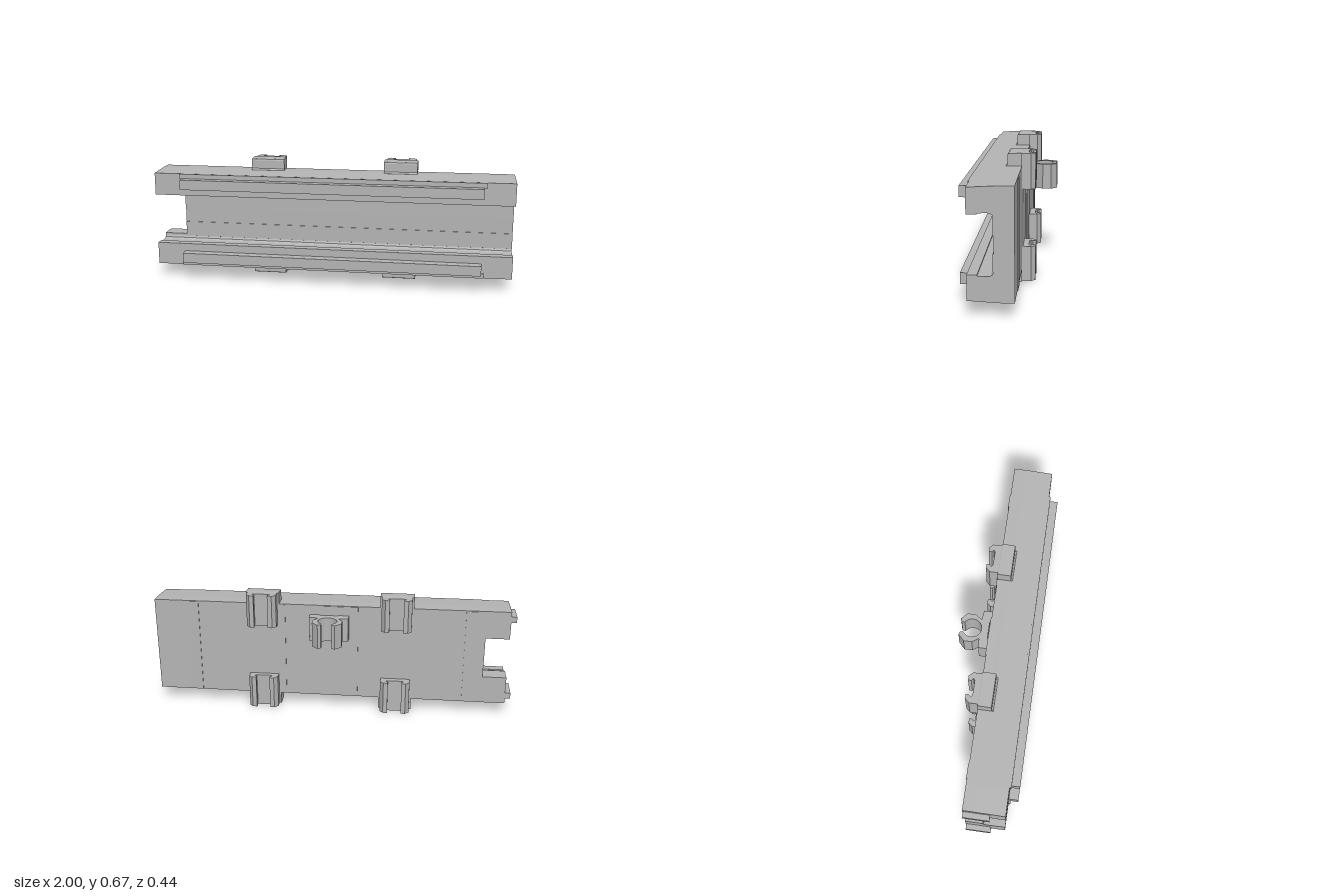
import * as THREE from 'three';

const X0 = -0.97, CUT = -0.84, X1 = 1, MID = 0.336;

export function createModel() {
  const root = new THREE.Group();
  root.name = 'channelRail';
  const grey = new THREE.MeshStandardMaterial({ color: 0xb4b4b4 });

  const add = (geometry, name) => {
    const mesh = new THREE.Mesh(geometry, grey);
    mesh.name = name;
    root.add(mesh);
    return mesh;
  };
  const box = (name, x0, x1, y0, y1, z0, z1) => {
    const g = new THREE.BoxGeometry(x1 - x0, y1 - y0, z1 - z0);
    g.translate((x0 + x1) / 2, (y0 + y1) / 2, (z0 + z1) / 2);
    return add(g, name);
  };
  const toShape = (pts) => new THREE.Shape(pts.map(([a, b]) => new THREE.Vector2(a, b)));
  // extrude a (z, y) section along x
  const alongX = (name, pts, x0, x1) => {
    const g = new THREE.ExtrudeGeometry(toShape(pts.map(([z, y]) => [-z, y])), { depth: x1 - x0, bevelEnabled: false });
    g.rotateY(Math.PI / 2);
    g.translate(x0, 0, 0);
    return add(g, name);
  };
  // extrude an (x, -z) section along y
  const alongY = (name, shape, x, y0, y1) => {
    const g = new THREE.ExtrudeGeometry(shape, { depth: y1 - y0, bevelEnabled: false, curveSegments: 20 });
    g.rotateX(-Math.PI / 2);
    g.translate(x, y0, 0);
    return add(g, name);
  };
  const flip = (pts) => pts.map(([z, y]) => [z, 2 * MID - y]).reverse();

  // lower half of the channel section, mirrored for the upper half
  const half = [
    [-0.05, 0.067], [0.02, 0.067], [0.168, 0.075], [0.168, 0.197], [0.12, 0.197], [0.12, 0.192],
    [0.075, 0.19], [0.06, 0.192], [0.05, 0.199], [0.046, 0.21],
  ];
  const lower = [...half, [0.049, 0.211], [0.049, 0.295], [0.045, 0.295]];
  alongX('channelBody', [...lower, ...flip(lower)], CUT, X1);

  // flange ends beside the end notch
  const stub = [...half, [0.046, 0.222], [-0.05, 0.222]];
  alongX('lowerFlangeEnd', stub, X0, CUT);
  alongX('upperFlangeEnd', flip(stub), X0, CUT);

  // front rails, lips behind them and end tabs
  for (const [side, m] of [['lower', (y) => y], ['upper', (y) => 2 * MID - y]]) {
    const pair = (name, x0, x1, ya, yb, z0, z1) =>
      box(side + name, x0, x1, Math.min(m(ya), m(yb)), Math.max(m(ya), m(yb)), z0, z1);
    pair('FrontRail', -0.81, 0.835, 0.1, 0.155, 0.16, 0.22);
    pair('FrontLip', -0.825, 0.85, 0.0755, 0.102, 0.16, 0.177);
    pair('EndTab', -1, X0 + 0.01, 0.095, 0.128, -0.046, 0.09);
  }

  // shallow raised panels on the back
  for (const [a, b] of [[-0.81, -0.73], [0.75, 0.83], [-0.145, 0.07], [0.26, 0.47]])
    box('backPanel', a, b, 0.07, 0.602, -0.054, -0.045);

  // section of the snap hooks: two angled prongs with a slot between
  const hookSide = [
    [0.082, 0.045], [0.082, 0.095], [0.062, 0.117], [0.038, 0.117], [0.038, 0.1], [0.05, 0.09], [0.04, 0.082],
  ];
  const hook = toShape([...hookSide, ...hookSide.map(([x, z]) => [-x, z]).reverse()]);
  const lug = (y0, y1) => [
    [-0.05, y0 + 0.002], [-0.045, y0], [0.015, y0 + 0.002], [0.022, y0 + 0.005], [0.024, y0 + 0.012],
    [0.024, y1 - 0.008], [0.032, y1], [0.032, y1 + 0.01], [-0.05, y1 + 0.01],
  ];
  for (const x of [-0.357, 0.385]) {
    alongX('lowerLug', lug(0, 0.067), x - 0.092, x + 0.092);
    alongX('upperLug', flip(lug(0.002, 0.067)), x - 0.092, x + 0.092);
    alongY('lowerHook', hook, x, 0.003, 0.186);
    alongY('upperHook', hook, x, 0.485, 0.668);
  }

  // open ring clip in the middle of the back
  const ring = toShape([
    [0.05, 0.06], [0.05, 0.045], [0.108, 0.045], [0.108, 0.1], [0.055, 0.105],
    [0.08, 0.14], [0.08, 0.185], [0.046, 0.218], [0.03, 0.212],
  ]);
  const open = THREE.MathUtils.degToRad(58);
  ring.absarc(0, 0.15, 0.052, open, Math.PI - open, true);
  for (const [x, z] of [
    [-0.03, 0.212], [-0.046, 0.218], [-0.08, 0.185], [-0.08, 0.14], [-0.055, 0.105],
    [-0.108, 0.1], [-0.108, 0.045], [-0.05, 0.045], [-0.05, 0.06],
  ]) ring.lineTo(x, z);
  alongY('ringClip', ring, 0.013, 0.416, 0.551);
  box('clipNub', 0.1, 0.12, 0.424, 0.441, -0.106, -0.095);

  return root;
}
